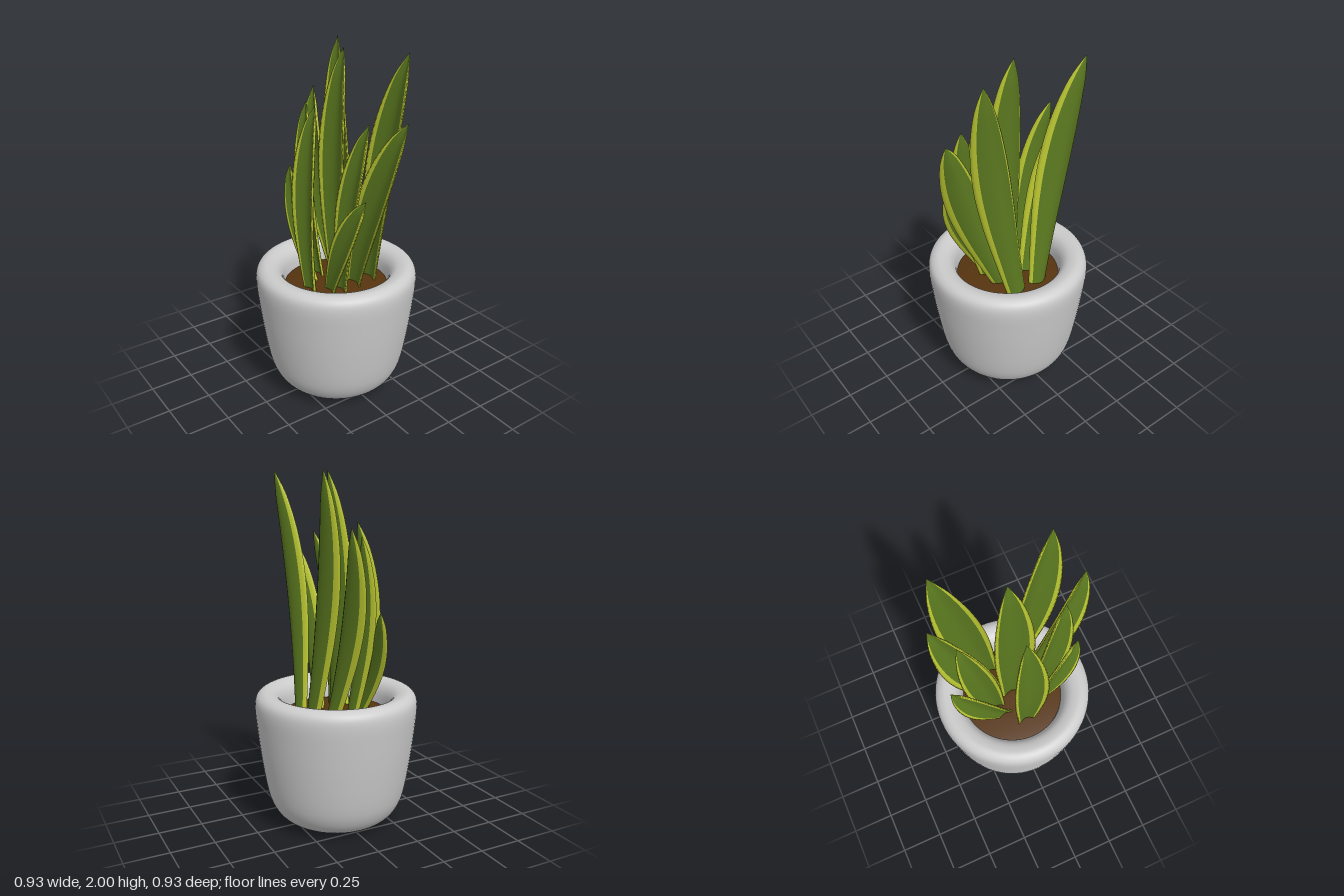
import * as THREE from 'three';

const mat = (color, side = THREE.FrontSide) =>
  new THREE.MeshStandardMaterial({ color, side });
const potMat = mat(0xcccccc);
const soilMat = mat(0x56340f);
const greenMat = mat(0x5c7a20, THREE.DoubleSide);
const edgeMat = mat(0xbcc832, THREE.DoubleSide);

const v2 = (pairs) => pairs.map(([x, y]) => new THREE.Vector2(x, y));

// Stations across a leaf blade; the outer band beyond STRIPE is the pale edge
const STRIPE = 0.76;
const HALF = [0, 0.2, 0.4, 0.6, STRIPE, 0.9, 1];
const ACROSS = [...HALF.slice(1).reverse().map((u) => -u), ...HALF];
const LOOP = [
  ...ACROSS.map((u) => [u, 1]),
  ...ACROSS.slice(1, -1).reverse().map((u) => [u, -1]),
];

// Half-width along the blade: narrow foot, broad middle, pointed tip
const outline = new THREE.SplineCurve(
  v2([[0, 0.5], [0.2, 0.72], [0.4, 0.93], [0.58, 1], [0.75, 0.86], [0.9, 0.5], [1, 0.01]])
);

// A trough-shaped blade that arches backwards towards its tip
function makeLeaf(name, { base, tip, tipZ, width, arch = 1 }) {
  const rows = 32, n = LOOP.length, baseY = 0.62;
  const dx = tip[0] - base, dy = tip[1] - baseY, len = Math.hypot(dx, dy);
  const pos = [], green = [], edge = [];
  for (let j = 0; j <= rows; j++) {
    const { x: t, y: w } = outline.getPoint(j / rows);
    const half = w * width;
    const spineZ = tipZ + arch * (0.02 * (1 - t) + 0.11 * t * (1 - t));
    for (const [u, side] of LOOP) {
      const thick = 0.011 * Math.sqrt(1 - u ** 4) * Math.min(1, w * 2);
      pos.push(
        base + dx * t + (u * half * dy) / len,
        baseY + dy * t - (u * half * dx) / len,
        spineZ + 0.46 * arch * half * Math.abs(u) ** 1.6 + side * thick
      );
    }
  }
  for (let j = 0; j < rows; j++) {
    for (let i = 0; i < n; i++) {
      const k = (i + 1) % n;
      const outer = Math.min(Math.abs(LOOP[i][0]), Math.abs(LOOP[k][0])) >= STRIPE;
      const a = j * n + i, b = j * n + k;
      (outer ? edge : green).push(a, b, b + n, a, b + n, a + n);
    }
  }
  // Normals are shared by both colours so the blade stays smooth
  const whole = new THREE.BufferGeometry();
  whole.setAttribute('position', new THREE.Float32BufferAttribute(pos, 3));
  whole.setIndex([...green, ...edge]);
  whole.computeVertexNormals();

  const leaf = new THREE.Group();
  leaf.name = name;
  for (const [part, index, material] of [
    ['leafBlade', green, greenMat],
    ['leafEdge', edge, edgeMat],
  ]) {
    const mesh = new THREE.Mesh(whole.clone().setIndex(index), material);
    mesh.name = part;
    leaf.add(mesh);
  }
  return leaf;
}

function makePot() {
  // Rounded wall, rolled rim and short inner wall
  const wall = new THREE.SplineCurve(
    v2([
      [0.19, 0], [0.27, 0.018], [0.335, 0.06], [0.38, 0.13], [0.408, 0.23],
      [0.435, 0.4], [0.455, 0.57], [0.465, 0.69], [0.455, 0.75], [0.42, 0.778],
      [0.38, 0.778], [0.34, 0.76], [0.312, 0.72], [0.3, 0.66], [0.298, 0.6],
    ])
  );
  const profile = [new THREE.Vector2(0, 0), new THREE.Vector2(0.1, 0), ...wall.getPoints(70)];
  const pot = new THREE.Mesh(new THREE.LatheGeometry(profile, 72), potMat);
  pot.name = 'pot';
  return pot;
}

function makeSoil() {
  const profile = v2([[0.305, 0.645], [0.25, 0.655], [0.15, 0.664], [0, 0.668]]);
  const soil = new THREE.Mesh(new THREE.LatheGeometry(profile, 64), soilMat);
  soil.name = 'soil';
  return soil;
}

export function createModel() {
  const plant = new THREE.Group();
  plant.name = 'pottedPlant';
  plant.add(makePot(), makeSoil());

  // Upright leaves on the centre line
  plant.add(
    makeLeaf('centreTallLeaf', { base: 0, tip: [0, 2], tipZ: -0.05, width: 0.115 }),
    makeLeaf('centreFrontLeaf', { base: 0.01, tip: [0.012, 1.725], tipZ: 0.14, width: 0.1, arch: 1.15 })
  );

  // Splayed pairs, listed from back to front
  const pairs = [
    { name: 'BackLeaf', base: 0.07, tips: [[0.31, 2], [0.31, 2]], tipZ: -0.23, width: 0.115 },
    { name: 'OuterLeaf', base: 0.08, tips: [[0.455, 1.69], [0.39, 1.72]], tipZ: -0.115, width: 0.105, arch: 1.2 },
    { name: 'InnerLeaf', base: 0.11, tips: [[0.29, 1.665], [0.29, 1.67]], tipZ: 0, width: 0.088, arch: 1.1 },
    { name: 'ShortLeaf', base: 0.07, tips: [[0.36, 1.285], [0.38, 1.28]], tipZ: 0.065, width: 0.078, arch: 0.95 },
  ];
  for (const { name, base, tips, ...shape } of pairs) {
    [1, -1].forEach((s, i) => {
      const tip = [s * tips[i][0], tips[i][1]];
      plant.add(makeLeaf((s > 0 ? 'left' : 'right') + name, { ...shape, base: s * base, tip }));
    });
  }
  return plant;
}
